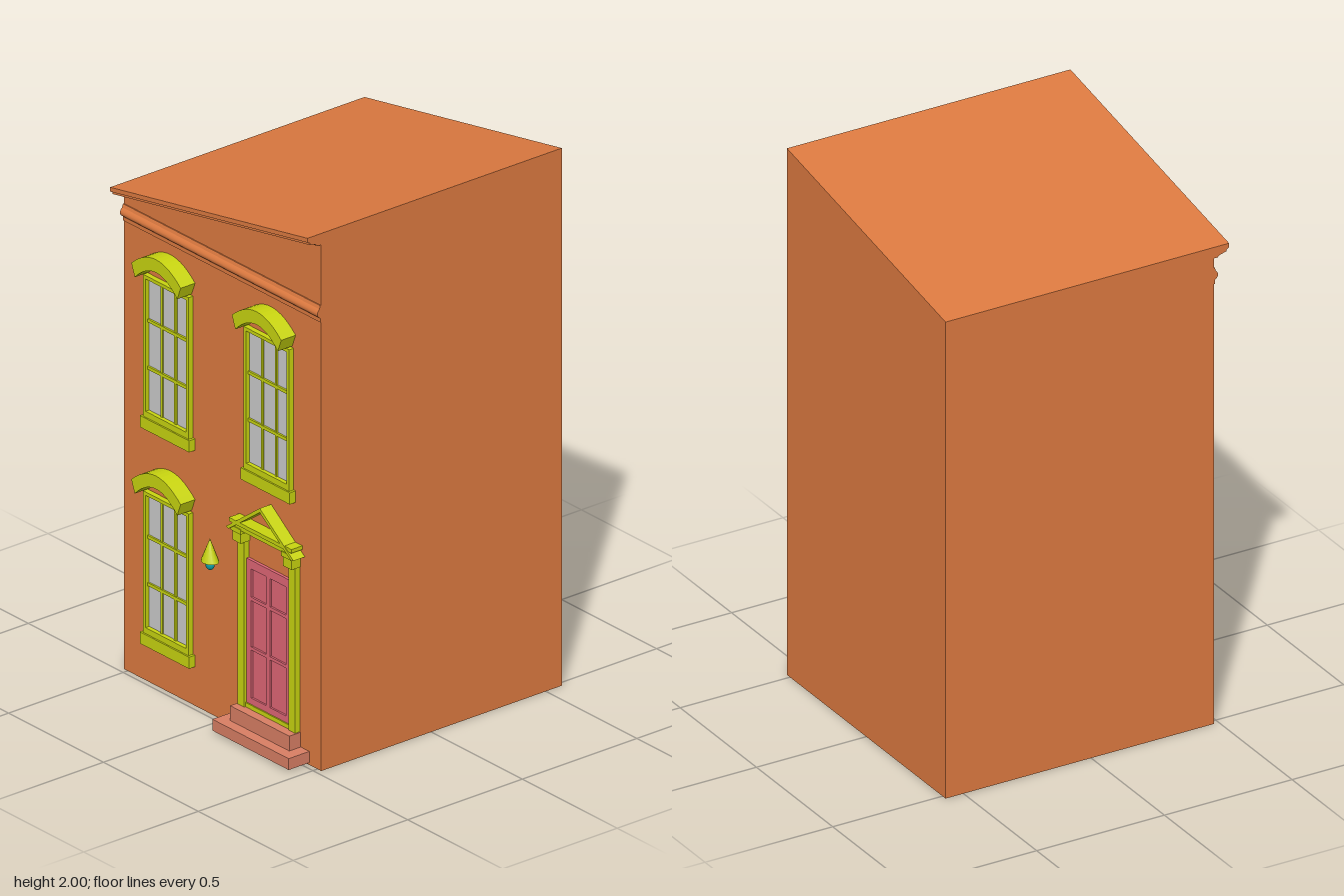
import * as THREE from 'three';

const material = (color) => new THREE.MeshStandardMaterial({ color });
const WALL = 0.48, BACK = -0.57, HALF = 0.52, SLOPE = 0.19 / 1.04, MID = 1.905;

export function createModel() {
  const house = new THREE.Group();
  house.name = 'townHouse';
  const brick = material(0xdd7a40), trim = material(0xc8d410), glass = material(0xcccccc);
  const pink = material(0xe06676), stone = material(0xd87e64), teal = material(0x10a8b0);

  const add = (parent, name, geometry, mat) => {
    const mesh = new THREE.Mesh(geometry, mat);
    mesh.name = name;
    parent.add(mesh);
    return mesh;
  };
  const box = (parent, name, x0, x1, y0, y1, z0, z1, mat) => add(parent, name,
    new THREE.BoxGeometry(x1 - x0, y1 - y0, z1 - z0)
      .translate((x0 + x1) / 2, (y0 + y1) / 2, (z0 + z1) / 2), mat);
  const group = (name) => {
    const g = new THREE.Group();
    g.name = name;
    house.add(g);
    return g;
  };
  const polygon = (points) => new THREE.Shape(points.map(([x, y]) => new THREE.Vector2(x, y)));
  const rect = (x0, x1, y0, y1) => [[x0, y0], [x1, y0], [x1, y1], [x0, y1]];
  const extrude = (shape, z0, z1) => new THREE.ExtrudeGeometry(shape,
    { depth: z1 - z0, bevelEnabled: false, curveSegments: 14 }).translate(0, 0, z0);
  // panel with rectangular openings
  const pierced = (outer, openings, z0, z1) => {
    const shape = polygon(rect(...outer));
    openings.forEach((o) => shape.holes.push(polygon(rect(...o))));
    return extrude(shape, z0, z1);
  };
  // (z, y) profile run across the width of the facade
  const moulding = (shape) => extrude(shape, -HALF, HALF).rotateY(-Math.PI / 2);

  // main block with a sideways-sloping roof
  add(house, 'walls', extrude(polygon([
    [-HALF, 0], [HALF, 0], [HALF, 2], [-HALF, 1.81],
  ]), BACK, WALL), brick);

  // stepped roof cornice, sheared to follow the roof
  const cornice = moulding(polygon([
    [WALL - 0.01, 0], [0.54, 0], [0.54, -0.016], [0.53, -0.021],
    [0.53, -0.028], [0.505, -0.034], [0.495, -0.042], [WALL - 0.01, -0.042],
  ]));
  const pos = cornice.attributes.position;
  for (let i = 0; i < pos.count; i++) pos.setY(i, pos.getY(i) + MID + SLOPE * pos.getX(i));
  cornice.computeVertexNormals();
  add(house, 'roofCornice', cornice, brick);

  // string course with a rounded nose
  const nose = new THREE.Shape();
  nose.moveTo(WALL - 0.01, 1.67);
  nose.lineTo(0.484, 1.67);
  nose.lineTo(0.484, 1.685);
  nose.quadraticCurveTo(0.508, 1.7, 0.488, 1.72);
  nose.lineTo(0.484, 1.732);
  nose.lineTo(WALL - 0.01, 1.732);
  add(house, 'stringCourse', moulding(nose), brick);

  // windows, each placed by its centre line and sill height
  const makeWindow = (name, x, y) => {
    const g = group(name);
    g.position.set(x, y, 0);
    box(g, 'windowGlass', -0.11, 0.11, 0.06, 0.56, WALL - 0.01, 0.484, glass);
    add(g, 'windowFrame', pierced([-0.12, 0.12, 0.04, 0.57],
      [[-0.107, 0.107, 0.065, 0.557]], WALL - 0.01, 0.5), trim);
    for (const u of [-0.036, 0.036])
      box(g, 'verticalBar', u - 0.005, u + 0.005, 0.06, 0.56, WALL, 0.489, trim);
    for (const v of [0.224, 0.4])
      box(g, 'horizontalBar', -0.11, 0.11, v - 0.006, v + 0.006, WALL, 0.491, trim);
    box(g, 'windowSill', -0.13, 0.13, 0, 0.043, WALL - 0.01, 0.506, trim);
    const hood = new THREE.Shape();
    hood.moveTo(-0.112, 0.575);
    hood.quadraticCurveTo(0, 0.69, 0.112, 0.575);
    hood.lineTo(0.13, 0.622);
    hood.quadraticCurveTo(0, 0.74, -0.13, 0.622);
    hood.closePath();
    add(g, 'windowHood', extrude(hood, WALL - 0.01, 0.543), trim);
  };
  makeWindow('upperRightWindow', -0.275, 0.95);
  makeWindow('upperLeftWindow', 0.255, 0.95);
  makeWindow('lowerRightWindow', -0.275, 0.145);

  // doorway
  const door = group('doorway');
  door.position.x = 0.256;
  box(door, 'doorPanels', -0.117, 0.117, 0.12, 0.655, WALL - 0.01, 0.484, pink);
  add(door, 'doorLeaf', pierced([-0.118, 0.118, 0.12, 0.657], [
    [-0.092, -0.015, 0.52, 0.625], [0.006, 0.092, 0.52, 0.625],
    [-0.092, -0.015, 0.335, 0.507], [0.006, 0.092, 0.335, 0.507],
    [-0.092, -0.015, 0.145, 0.323], [0.006, 0.092, 0.145, 0.323],
  ], WALL - 0.01, 0.491), pink);
  box(door, 'threshold', -0.15, 0.15, 0.1, 0.121, WALL - 0.01, 0.496, trim);
  for (const s of [-1, 1]) {
    const cx = s * 0.134;
    box(door, 'pilaster', cx - 0.017, cx + 0.017, 0.1, 0.725, WALL - 0.01, 0.501, trim);
    box(door, 'capital', cx - 0.022, cx + 0.022, 0.72, 0.765, WALL - 0.01, 0.52, trim);
    box(door, 'capitalTop', cx - 0.027, cx + 0.027, 0.757, 0.775, WALL - 0.01, 0.525, trim);
  }

  // open pediment above the door
  box(door, 'pedimentBeam', -0.155, 0.155, 0.77, 0.79, WALL - 0.01, 0.522, trim);
  box(door, 'pedimentLedge', -0.165, 0.165, 0.788, 0.802, WALL - 0.01, 0.528, trim);
  add(door, 'pedimentRake', extrude(polygon([
    [-0.178, 0.765], [-0.165, 0.76], [0, 0.88], [0.165, 0.76], [0.178, 0.765], [0, 0.896],
  ]), WALL - 0.01, 0.53), trim);

  // front steps
  box(house, 'lowerStep', 0.055, 0.457, 0.008, 0.05, WALL - 0.01, 0.57, stone);
  box(house, 'upperStep', 0.1, 0.412, 0.05, 0.105, WALL - 0.01, 0.53, stone);

  // lantern beside the door
  const lantern = group('lantern');
  lantern.position.set(-0.012, 0, 0.525);
  lantern.scale.z = 0.8;
  add(lantern, 'lanternShade', new THREE.ConeGeometry(0.036, 0.085, 12).translate(0, 0.643, 0), trim);
  add(lantern, 'lanternBulb', new THREE.SphereGeometry(0.019, 12, 8)
    .scale(1, 1.25, 1).translate(0, 0.592, 0), teal);

  return house;
}
